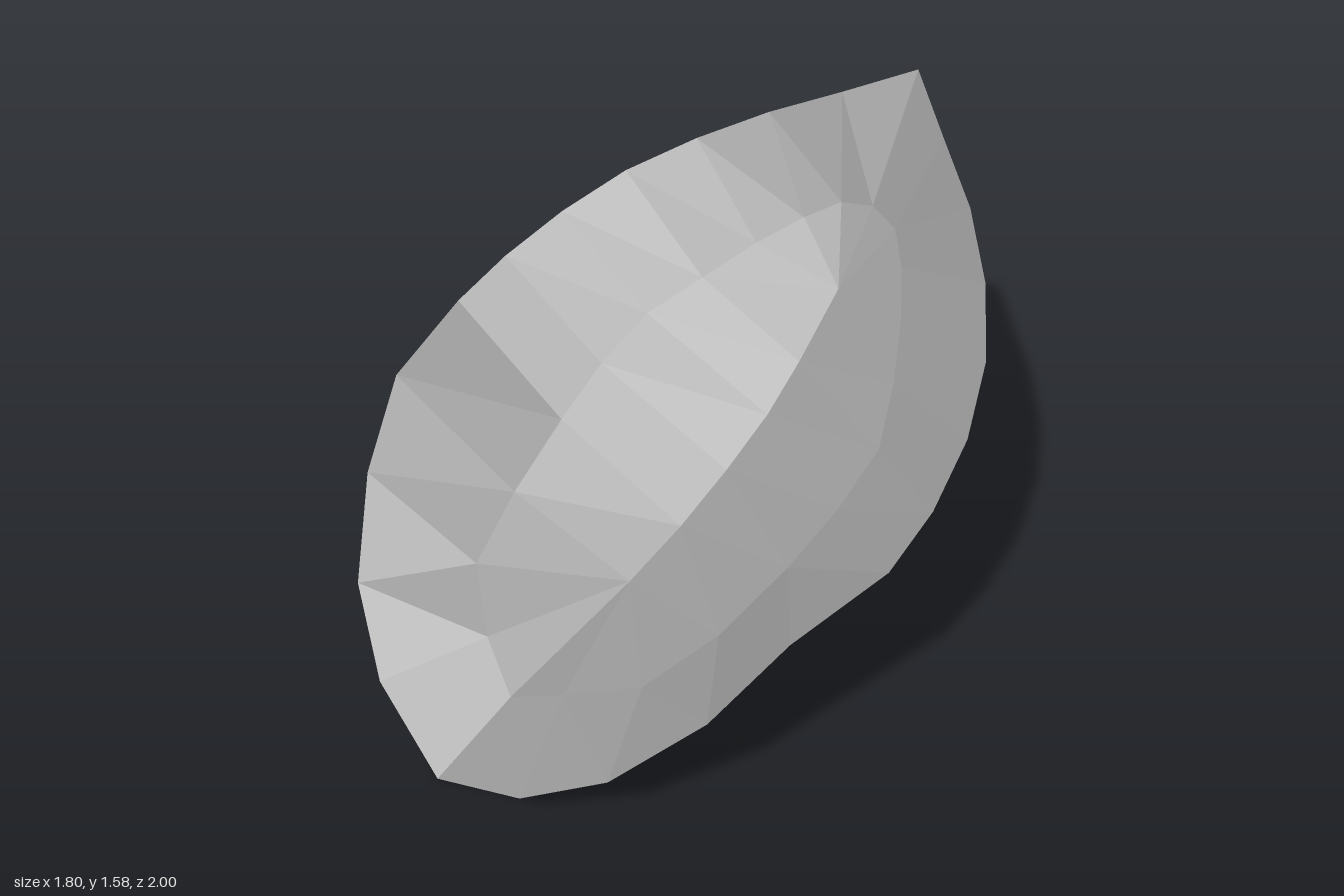
import * as THREE from 'three';

// Centre fold, from the tip down to the base: [x, y, z]
const fold = [
  [0, 1.575, -1], [0, 1.17, -0.83], [0, 0.93, -0.69], [0, 0.735, -0.52], [0, 0.6, -0.38],
  [0, 0.48, -0.2], [0, 0.37, 0], [0, 0.28, 0.22], [0, 0.13, 0.71], [0, 0, 1],
];

// Cross-sections of one half: [index on the fold, crease point, rim point]
const sections = [
  [1, fold[1], fold[0]],
  [2, [0.11, 1.145, -0.81], [0.2, 1.465, -0.89]],
  [2, [0.2, 1.08, -0.74], [0.4, 1.36, -0.78]],
  [2, [0.3, 0.99, -0.63], [0.58, 1.25, -0.64]],
  [3, [0.4, 0.875, -0.49], [0.73, 1.14, -0.47]],
  [4, [0.49, 0.77, -0.33], [0.83, 1.025, -0.28]],
  [5, [0.505, 0.66, -0.14], [0.885, 0.92, -0.08]],
  [6, [0.49, 0.545, 0.05], [0.9, 0.83, 0.11]],
  [7, [0.45, 0.41, 0.29], [0.835, 0.73, 0.42]],
  [7, [0.37, 0.305, 0.52], [0.74, 0.515, 0.63]],
  [7, [0.17, 0.22, 0.65], [0.56, 0.3, 0.83]],
  [7, [0.17, 0.22, 0.65], [0.32, 0.135, 0.95]],
  [8, fold[8], fold[9]],
];

// Skins one half of the petal; side is +1 (left) or -1 (right)
function halfGeometry(side) {
  const positions = [];
  const triangle = (a, b, c) => {
    const corners = side > 0 ? [a, b, c] : [a, c, b];
    for (const [x, y, z] of corners) positions.push(x * side, y, z);
  };
  const rows = sections.map(([i, crease, rim]) => [fold[i], crease, rim]);
  const same = (p, q) => p.every((value, i) => value === q[i]);
  for (let r = 0; r < rows.length - 1; r++) {
    for (let k = 0; k < 2; k++) {
      const [a, b] = [rows[r][k], rows[r][k + 1]];
      const [c, d] = [rows[r + 1][k], rows[r + 1][k + 1]];
      // Skip the triangles that collapse where sections share a point
      if (!same(a, c) && !same(c, d)) triangle(a, c, d);
      if (!same(a, b) && !same(b, d)) triangle(a, d, b);
    }
  }
  const geometry = new THREE.BufferGeometry();
  geometry.setAttribute('position', new THREE.Float32BufferAttribute(positions, 3));
  geometry.computeVertexNormals();
  return geometry;
}

export function createModel() {
  const petal = new THREE.Group();
  petal.name = 'petal';
  const material = new THREE.MeshStandardMaterial({
    color: 0x999999, flatShading: true, side: THREE.DoubleSide,
  });
  for (const side of [1, -1]) {
    const half = new THREE.Mesh(halfGeometry(side), material);
    half.name = side > 0 ? 'leftHalf' : 'rightHalf';
    petal.add(half);
  }
  return petal;
}
